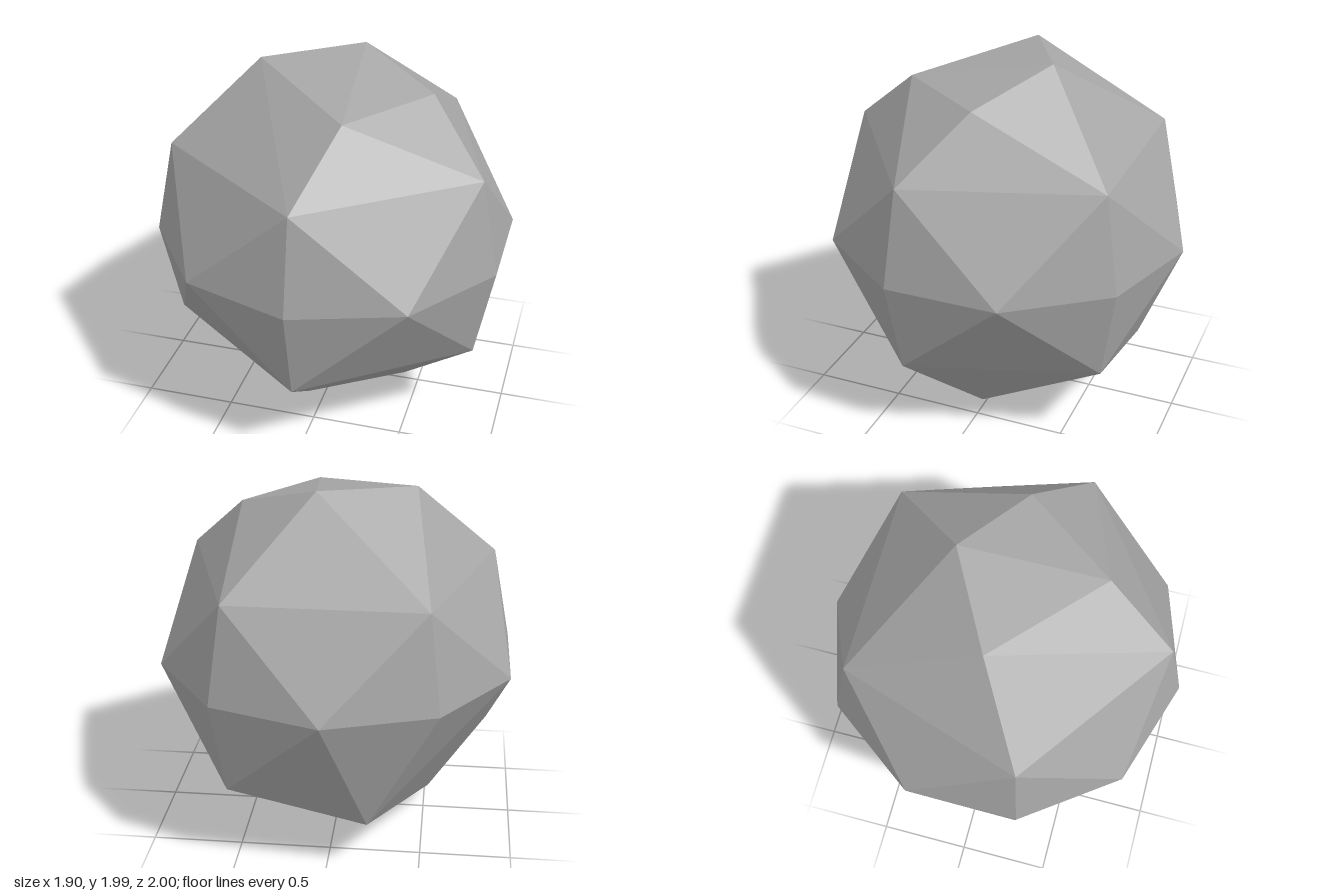
import * as THREE from 'three';
import { ConvexGeometry } from 'three/addons/geometries/ConvexGeometry.js';

export function createModel() {
  const group = new THREE.Group();
  group.name = 'boulder';
  const stone = new THREE.MeshStandardMaterial({ color: 0xa6a6a6 });
  stone.name = 'stone grey';

  const points = [];
  // Ring of points at height y, the first one facing +z
  const ring = (count, radius, y, skip = -1) => {
    for (let i = 0; i < count; i++) {
      if (i === skip) continue;
      const a = (i / count) * Math.PI * 2;
      points.push(new THREE.Vector3(Math.sin(a) * radius, y, Math.cos(a) * radius));
    }
  };
  ring(10, 1, 1); // widest belt
  ring(5, 0.894, 1.522); // upper ring
  ring(5, 0.894, 0.475, 3); // lower ring, with its back right corner chipped off

  // Irregular crown, underside and chipped corner
  const corners = [
    [0.09, 1.99, -0.275], [-0.42, 1.955, 0], [0.525, 1.85, 0], [0.162, 1.85, 0.5],
    [-0.09, 0, 0.275], [0.42, 0.04, 0], [-0.525, 0.145, 0], [-0.22, 0.3, -0.72],
  ];
  corners.forEach((c) => points.push(new THREE.Vector3(...c)));

  const rock = new THREE.Mesh(new ConvexGeometry(points), stone);
  rock.name = 'facetedRock';
  group.add(rock);
  return group;
}
